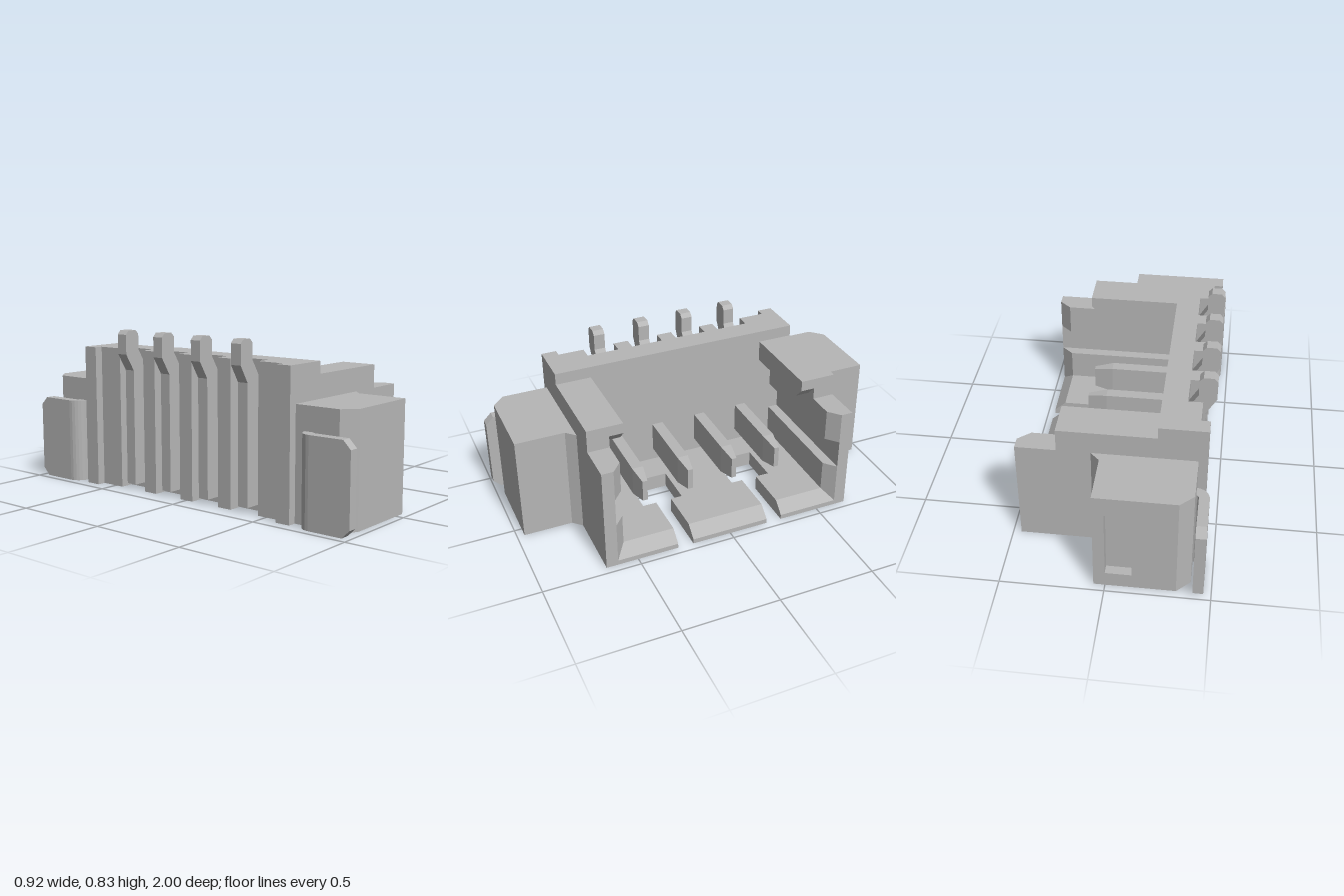
import * as THREE from 'three';

export function createModel() {
  const group = new THREE.Group();
  const grey = new THREE.MeshStandardMaterial({ color: 0xb6b6b6 });

  const add = (name, geo) => {
    const mesh = new THREE.Mesh(geo, grey);
    mesh.name = name;
    group.add(mesh);
    return mesh;
  };
  const box = (name, x0, x1, y0, y1, z0, z1) => {
    const geo = new THREE.BoxGeometry(x1 - x0, y1 - y0, Math.abs(z1 - z0));
    return add(name, geo.translate((x0 + x1) / 2, (y0 + y1) / 2, (z0 + z1) / 2));
  };
  const toShape = (pts) => new THREE.Shape(pts.map(([a, b]) => new THREE.Vector2(a, b)));
  const extrude = (shape, depth) =>
    new THREE.ExtrudeGeometry(shape, { depth, bevelEnabled: false, curveSegments: 6 });
  // Plan outline (x, z) raised from y0 to y1
  const slab = (name, shape, y0, y1) =>
    add(name, extrude(shape, y1 - y0).rotateX(Math.PI / 2).translate(0, y1, 0));
  // Side profile (x, y) swept from z0 to z1
  const sweep = (name, pts, z0, z1) =>
    add(name, extrude(toShape(pts), Math.abs(z1 - z0)).translate(0, 0, Math.min(z0, z1)));

  // Back wall with vertical ribs between the pin slots
  box('backWall', -0.33, -0.21, 0, 0.73, -0.665, 0.665);
  box('centreRib', -0.4, -0.33, 0, 0.73, -0.04, 0.04);
  for (const s of [-1, 1]) {
    box('rib', -0.4, -0.33, 0, 0.73, s * 0.207, s * 0.285);
    box('outerRib', -0.4, -0.33, 0, 0.73, s * 0.452, s * 0.587);
    box('endRib', -0.443, -0.33, 0, 0.73, s * 0.587, s * 0.665);
  }

  // Floor with two T-shaped openings and a sloped mouth
  const tongue = [[0.17, 0], [0.46, 0], [0.46, 0.025], [0.4, 0.08], [0.17, 0.08]];
  box('floorRear', -0.21, -0.05, 0, 0.08, -0.605, 0.605);
  box('floorBridge', -0.05, 0.17, 0, 0.08, -0.145, 0.145);
  sweep('floorTongue', tongue, -0.205, 0.205);
  for (const s of [-1, 1]) {
    box('floorSide', -0.05, 0.17, 0, 0.08, s * 0.36, s * 0.605);
    sweep('floorSideTongue', tongue, s * 0.288, s * 0.605);
  }

  for (const s of [-1, 1]) {
    // Side wall, with a groove left between its two inner rails
    box('sideWall', -0.21, 0.46, 0, 0.553, s * 0.605, s * 0.665);
    const rail = toShape([[-0.21, s * 0.605], [-0.21, s * 0.553], [0.4, s * 0.553], [0.46, s * 0.605]]);
    slab('lowerRail', rail, 0.025, 0.24);
    slab('upperRail', rail, 0.39, 0.553);

    // Raised wall top with an overhanging lip
    box('wallTop', -0.21, 0.263, 0.553, 0.67, s * 0.553, s * 0.665);
    sweep('lip', [[-0.21, 0.56], [0.21, 0.56], [0.263, 0.615], [0.263, 0.67], [-0.21, 0.67]],
      s * 0.48, s * 0.553);

    // Anchor block; the outer window is only on the -z side
    const start = [[-0.4, s * 0.665], [-0.4, s * 0.9], [-0.335, s * 0.962]];
    const end = [[0.055, s * 0.962], [0.055, s * 0.71], [0.1, s * 0.665]];
    const notch = s < 0
      ? [[-0.125, s * 0.962], [-0.125, s * 0.915], [0.0, s * 0.915], [0.0, s * 0.962]] : [];
    const base = toShape([...start, ...end]);
    const pocket = toShape([[-0.34, s * 0.7], [-0.13, s * 0.7], [-0.13, s * 0.86], [-0.34, s * 0.86]]);
    base.holes.push(new THREE.Path(pocket.getPoints()));
    slab('blockBase', base, 0, 0.08);
    slab('blockMiddle', toShape([...start, ...notch, ...end]), 0.08, 0.45);
    slab('blockTop', toShape([...start, ...end]), 0.45, 0.553);

    // Solder tab: upright plate, bend and tail hooked into the block
    const plate = toShape([[0.78, 0], [0.96, 0], [1, 0.04], [1, 0.395], [0.96, 0.435], [0.78, 0.435]]);
    const plateGeo = extrude(plate, 0.05).rotateY(-Math.PI / 2).translate(-0.413, 0, 0);
    if (s < 0) plateGeo.rotateY(Math.PI).translate(-0.876, 0, 0);
    add('tabPlate', plateGeo);
    const bend = [];
    for (const [r, dir] of [[0.065, 1], [0.015, -1]]) {
      for (let i = 0; i <= 6; i++) {
        const a = ((dir > 0 ? i : 6 - i) / 6) * Math.PI / 2;
        bend.push([-0.398 - r * Math.cos(a), s * (0.78 - r * Math.sin(a))]);
      }
    }
    slab('tabBend', toShape(bend), 0, 0.435);
    box('tabTail', -0.398, -0.17, 0.01, 0.435, s * 0.715, s * 0.765);
    box('tabHook', -0.22, -0.17, 0.01, 0.1, s * 0.765, s * 0.83);
  }

  // Contact pins: cranked tail behind the wall, tapered blade inside
  const tail = [[-0.412, 0.03], [-0.33, 0.03], [-0.33, 0.655], [-0.376, 0.73], [-0.376, 0.81],
    [-0.395, 0.83], [-0.445, 0.83], [-0.463, 0.81], [-0.463, 0.71], [-0.412, 0.625]];
  for (const z of [-0.37, -0.123, 0.123, 0.37]) {
    sweep('pinTail', tail, z - 0.029, z + 0.029);
    box('pinBlade', -0.21, 0.135, 0.147, 0.302, z - 0.029, z + 0.029);
    const tip = new THREE.BoxGeometry(0.1, 0.155, 0.058);
    const p = tip.attributes.position;
    for (let i = 0; i < p.count; i++) {
      if (p.getX(i) > 0) p.setXYZ(i, p.getX(i), p.getY(i) * 0.75, p.getZ(i) * 0.45);
    }
    const flat = tip.toNonIndexed();
    flat.computeVertexNormals();
    add('pinTip', flat.translate(0.185, 0.2245, z));
  }
  return group;
}
